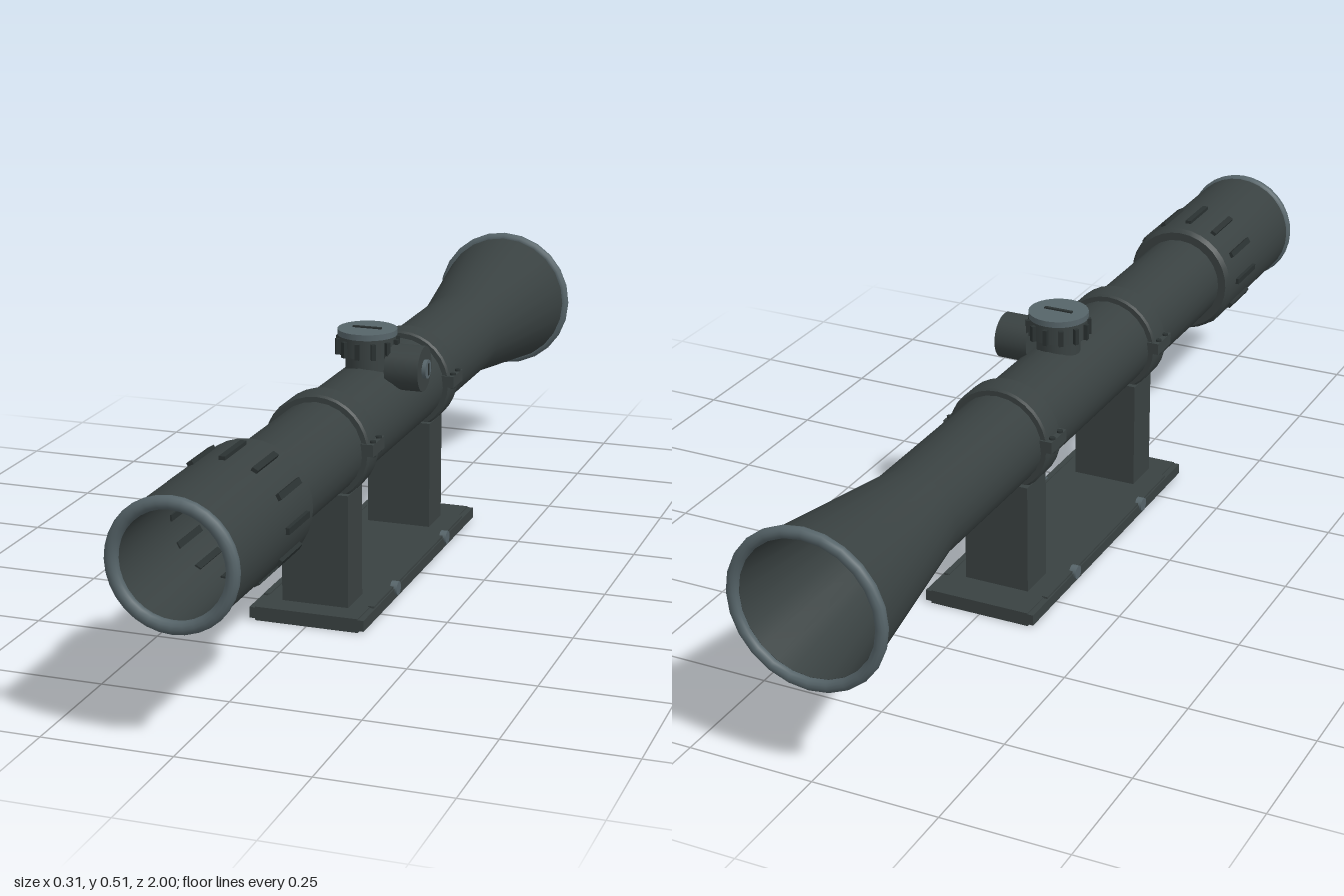
import * as THREE from 'three';
import { toCreasedNormals } from 'three/addons/utils/BufferGeometryUtils.js';

const AXIS_Y = 0.34;

export function createModel() {
  const model = new THREE.Group();
  model.name = 'telescopicSight';

  const mat = (name, color) => {
    const m = new THREE.MeshStandardMaterial({ color });
    m.name = name;
    return m;
  };
  const body = mat('darkBody', 0x394141);
  const trim = mat('greyTrim', 0x566469);
  const grip = mat('blackGrip', 0x2a3131);

  const add = (parent, name, geometry, material, x = 0, y = 0, z = 0) => {
    const mesh = new THREE.Mesh(geometry, material);
    mesh.name = name;
    mesh.position.set(x, y, z);
    parent.add(mesh);
    return mesh;
  };
  const box = (parent, name, w, h, d, material, x, y, z) =>
    add(parent, name, new THREE.BoxGeometry(w, h, d), material, x, y, z);
  // Closed profile of [radius, z] turned around the optical axis
  const turned = (parent, name, profile, material, segments = 32, z = 0) => {
    const pts = [...profile, profile[0]].map(([r, h]) => new THREE.Vector2(r, h));
    const geo = new THREE.LatheGeometry(pts, segments).rotateX(Math.PI / 2);
    return add(parent, name, toCreasedNormals(geo, 0.6), material, 0, 0, z);
  };

  // Optical tube, with the axis at its local origin
  const optic = new THREE.Group();
  optic.name = 'optic';
  optic.position.y = AXIS_Y;
  model.add(optic);

  turned(optic, 'mainTubeAndBell', [
    [0.147, -0.985], [0.093, -0.62], [0.093, 0.63],
    [0.084, 0.63], [0.084, -0.62], [0.135, -0.985],
  ], body, 24);
  turned(optic, 'eyepiece', [
    [0.11, 0.62], [0.117, 0.63], [0.117, 0.985],
    [0.1, 0.985], [0.1, 0.64], [0.084, 0.63], [0.084, 0.62],
  ], body);
  turned(optic, 'innerRing', [
    [0.072, 0.608], [0.085, 0.595], [0.085, 0.632], [0.08, 0.632], [0.072, 0.62],
  ], body);

  // Rounded rims at both ends
  const rim = (name, r, thick, z, sides) => {
    const m = add(optic, name, new THREE.TorusGeometry(r, thick, 12, sides), trim, 0, 0, z);
    return m;
  };
  rim('eyepieceRim', 0.11, 0.0125, 0.9875, 32);
  rim('bellRim', 0.146, 0.0115, -0.9885, 24);

  // Raised grip bars around the eyepiece
  for (let i = 0; i < 12; i++) {
    const a = (i / 12) * Math.PI * 2;
    const bar = box(optic, 'eyepieceGripBar', 0.012, 0.027, 0.1, grip,
      Math.sin(a) * 0.11, Math.cos(a) * 0.11, 0.715);
    bar.rotation.z = -a;
  }

  // Adjustment knob built along +y; seat at local y = 0
  const knob = (name) => {
    const g = new THREE.Group();
    g.name = name;
    model.add(g);
    return g;
  };
  const cyl = (r, h, n = 28) => new THREE.CylinderGeometry(r, r, h, n);

  const top = knob('elevationKnob');
  top.position.y = 0.42;
  add(top, 'knobNeck', cyl(0.044, 0.06), body, 0, 0.02, 0);
  add(top, 'knobBody', cyl(0.057, 0.042), body, 0, 0.056, 0);
  add(top, 'knobCap', cyl(0.06, 0.012), trim, 0, 0.08, 0);
  box(top, 'knobSlot', 0.06, 0.004, 0.007, grip, 0, 0.087, 0);
  for (let i = 0; i < 12; i++) {
    const a = (i / 12) * Math.PI * 2;
    const rib = box(top, 'knobRib', 0.009, 0.032, 0.014, grip,
      Math.sin(a) * 0.058, 0.051, Math.cos(a) * 0.058);
    rib.rotation.y = a;
  }

  const side = knob('windageKnob');
  side.position.set(0.06, 0.432, 0);
  side.rotation.z = -Math.PI / 2;
  add(side, 'knobBody', cyl(0.046, 0.07), body, 0, 0.025, 0);
  add(side, 'knobDial', cyl(0.019, 0.01), trim, 0, 0.063, 0);
  box(side, 'knobSlot', 0.024, 0.003, 0.005, grip, 0, 0.0685, 0);

  // Clamp rings with split lugs, bolts and posts
  for (const z of [0.268, -0.242]) {
    const mount = new THREE.Group();
    mount.name = 'ringMount';
    mount.position.z = z;
    model.add(mount);
    const ring = turned(mount, 'clampRing', [
      [0.09, -0.029], [0.103, -0.029], [0.107, -0.025],
      [0.107, 0.025], [0.103, 0.029], [0.09, 0.029],
    ], body);
    ring.position.y = AXIS_Y;
    box(mount, 'clampLug', 0.232, 0.024, 0.066, body, 0, 0.348, 0);
    for (const s of [-1, 1])
      for (const dz of [-0.017, 0.017])
        add(mount, 'clampBolt', cyl(0.006, 0.032, 10), grip, s * 0.11, 0.348, dz);
    box(mount, 'post', 0.136, 0.23, 0.082, body, 0, 0.141, 0);
  }

  // Base plate with side jaws and jaw screws
  box(model, 'basePlate', 0.21, 0.028, 0.72, body, 0, 0.015, 0);
  for (const s of [-1, 1]) {
    box(model, 'sideJaw', 0.014, 0.022, 0.72, body, s * 0.11, 0.016, 0);
    box(model, 'jawBlock', 0.012, 0.028, 0.58, body, s * 0.108, 0.017, 0);
    for (const z of [0.16, -0.163]) {
      const screw = add(model, 'jawScrew', cyl(0.014, 0.014, 16), trim, s * 0.114, 0.024, z);
      screw.rotation.z = Math.PI / 2;
    }
  }

  return model;
}
